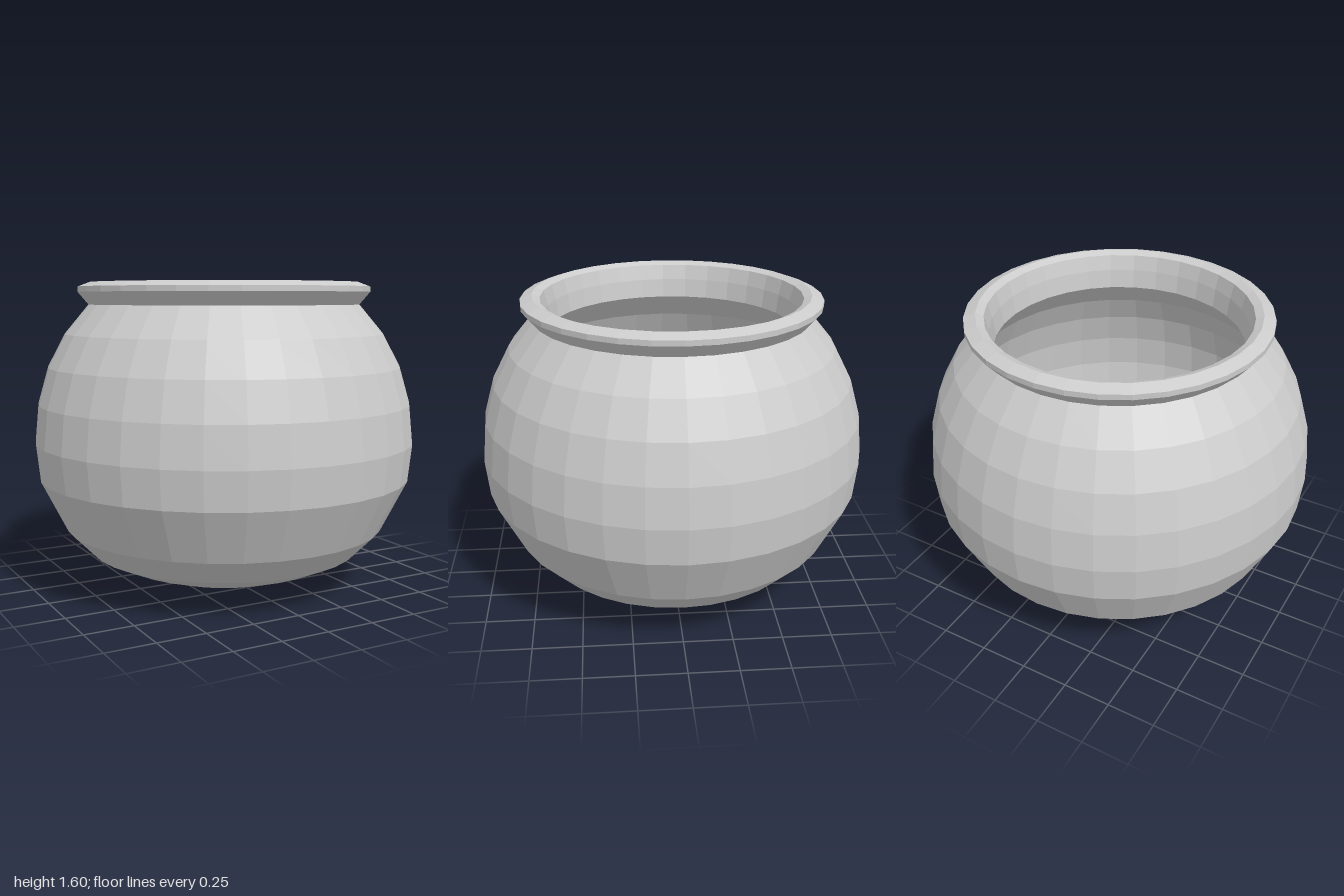
import * as THREE from 'three';

const SIDES = 32;
const MID_Y = 0.77; // height of the widest ring
const WALL = 0.89; // inner surface relative to outer

// [radius, height] of the outer surface, bottom to top
const OUTER = [
  [0, 0], [0.2, 0.012], [0.39, 0.05], [0.565, 0.11], [0.715, 0.178], [0.845, 0.31],
  [0.98, 0.58], [1, 0.77], [0.98, 0.97], [0.925, 1.16], [0.835, 1.33], [0.71, 1.48],
];

export function createModel() {
  const pot = new THREE.Group();
  pot.name = 'pot';
  const material = new THREE.MeshStandardMaterial({ color: 0xcccccc, flatShading: true });

  const turn = (name, profile) => {
    const points = profile.map(([r, y]) => new THREE.Vector2(r, y));
    const mesh = new THREE.Mesh(new THREE.LatheGeometry(points, SIDES), material);
    mesh.name = name;
    pot.add(mesh);
  };

  // Rounded outer wall
  turn('outerWall', OUTER);

  // Inner wall: shrunken outer profile, run top to bottom so it faces inwards
  const inner = OUTER.map(([r, y]) => [r * WALL, MID_Y + (y - MID_Y) * WALL]).reverse();
  turn('innerWall', inner);

  // Flared lip joining the two walls
  turn('rim', [
    OUTER[OUTER.length - 1],
    [0.765, 1.545], [0.765, 1.572], [0.705, 1.595], [0.665, 1.578], [0.645, 1.5],
    inner[0],
  ]);

  return pot;
}
